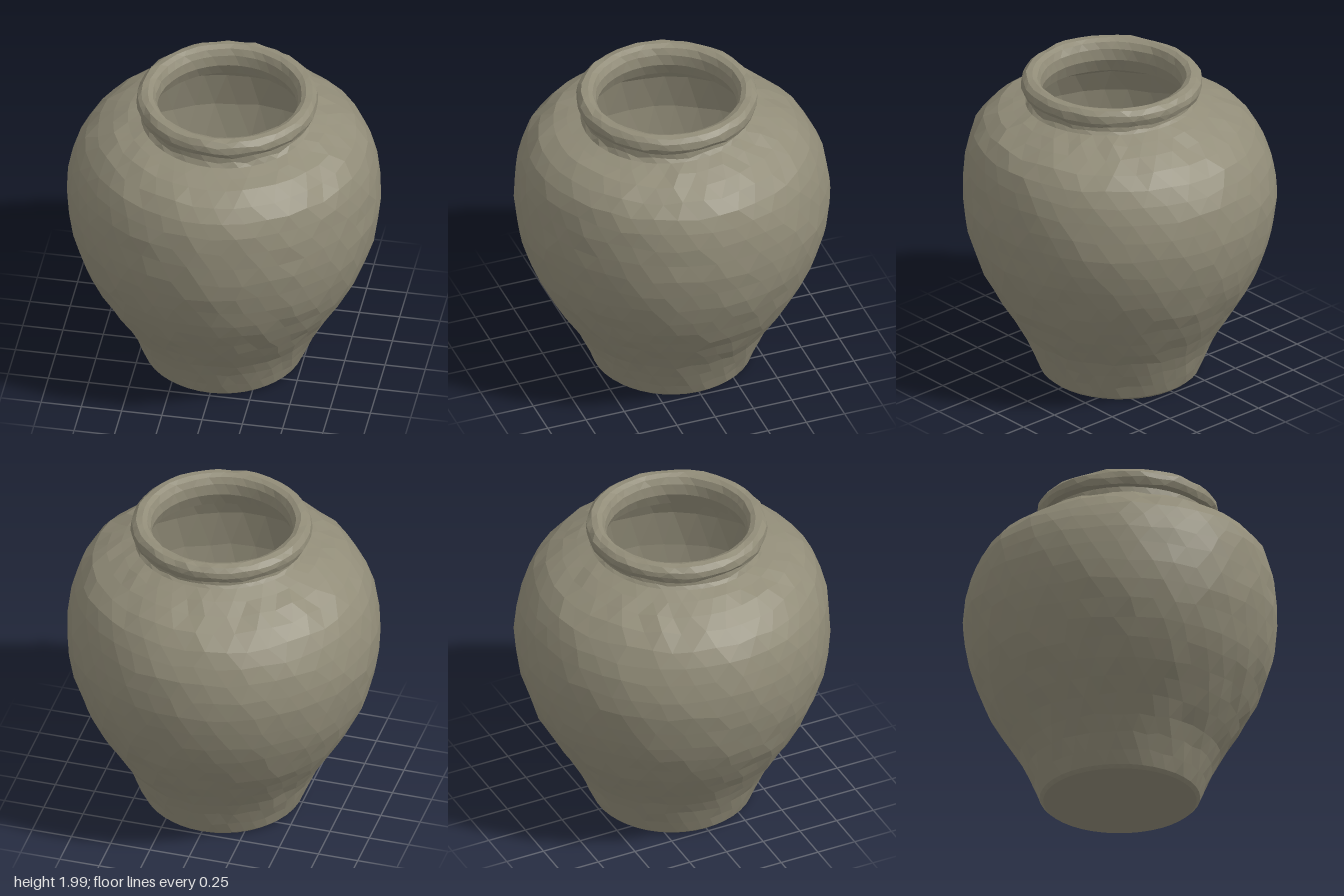
import * as THREE from 'three';

const SEGMENTS = 40;

// Radius and height, from the centre of the underside, up the outside and down the inside
const profile = [
  [0, 0.005], [0.25, 0.005], [0.468, 0.005], [0.49, 0.025],                        // foot
  [0.525, 0.11], [0.565, 0.21], [0.613, 0.31], [0.675, 0.41], [0.735, 0.51],       // lower wall
  [0.793, 0.61], [0.848, 0.72], [0.892, 0.83], [0.927, 0.95], [0.95, 1.07],
  [0.961, 1.19], [0.955, 1.31], [0.937, 1.42], [0.907, 1.52], [0.862, 1.61],       // belly, shoulder
  [0.79, 1.69], [0.7, 1.75], [0.61, 1.79], [0.53, 1.82],
  [0.512, 1.84], [0.508, 1.88],                                                    // neck
  [0.54, 1.89], [0.554, 1.925], [0.549, 1.965], [0.522, 1.99], [0.485, 1.995],     // rim
  [0.455, 1.98], [0.435, 1.94], [0.43, 1.87],
  [0.47, 1.78], [0.62, 1.71], [0.78, 1.61], [0.86, 1.45], [0.89, 1.2],             // inside wall
  [0.86, 0.95], [0.77, 0.7], [0.65, 0.48], [0.54, 0.28], [0.45, 0.09],
  [0.4, 0.07], [0, 0.07],                                                          // inside floor
];

// Repeatable value from -1 to 1 for a point of the surface
function noise(row, column, channel) {
  const s = Math.sin(row * 127.1 + column * 311.7 + channel * 74.7) * 43758.5453;
  return (s - Math.floor(s)) * 2 - 1;
}

// Turns part of the profile into a hand-made looking, faceted band
function band(first, last, unevenness) {
  const points = profile.slice(first, last + 1).map(([r, y]) => new THREE.Vector2(r, y));
  const geometry = new THREE.LatheGeometry(points, SEGMENTS);
  const position = geometry.attributes.position;
  const step = (Math.PI * 2) / SEGMENTS;
  for (let i = 0; i <= SEGMENTS; i++) {
    for (let k = 0; k < points.length; k++) {
      const row = first + k;
      const column = i % SEGMENTS;
      let { x: r, y } = points[k];
      // Shared edge rows stay smooth so neighbouring bands meet exactly
      const amount = k === 0 || k === points.length - 1 ? 0 : unevenness;
      // Staggered rows give irregular triangles
      const angle = step * (column + row / 2 + noise(row, column, 1) * 25 * amount);
      if (r > 0) r += noise(row, column, 2) * amount;
      if (r > 0.5) y += noise(row, column, 3) * amount * 2;
      // The mouth sits slightly off centre
      const lean = THREE.MathUtils.smoothstep(y, 1.25, 1.85);
      const x = Math.sin(angle) * r + 0.028 * lean;
      const z = Math.cos(angle) * r * (y < 1.7 ? 1.006 : 1) + 0.043 * lean;
      // The join of neck and shoulder dips towards the front
      y -= 0.035 * z * Math.exp(-(((y - 1.82) / 0.035) ** 2));
      position.setXYZ(i * points.length + k, x, y, z);
    }
  }
  const faceted = geometry.toNonIndexed();
  faceted.computeVertexNormals();
  return faceted;
}

export function createModel() {
  const group = new THREE.Group();
  group.name = 'jar';
  const clay = new THREE.MeshStandardMaterial({ color: 0x918c78 });
  clay.name = 'grey clay';

  const parts = [
    ['foot', 0, 3, 0],
    ['body', 3, 22, 0.005],
    ['neck', 22, 24, 0.004],
    ['rim', 24, 32, 0.004],
    ['interior', 32, profile.length - 1, 0.004],
  ];
  for (const [name, first, last, unevenness] of parts) {
    const mesh = new THREE.Mesh(band(first, last, unevenness), clay);
    mesh.name = name;
    group.add(mesh);
  }
  return group;
}
